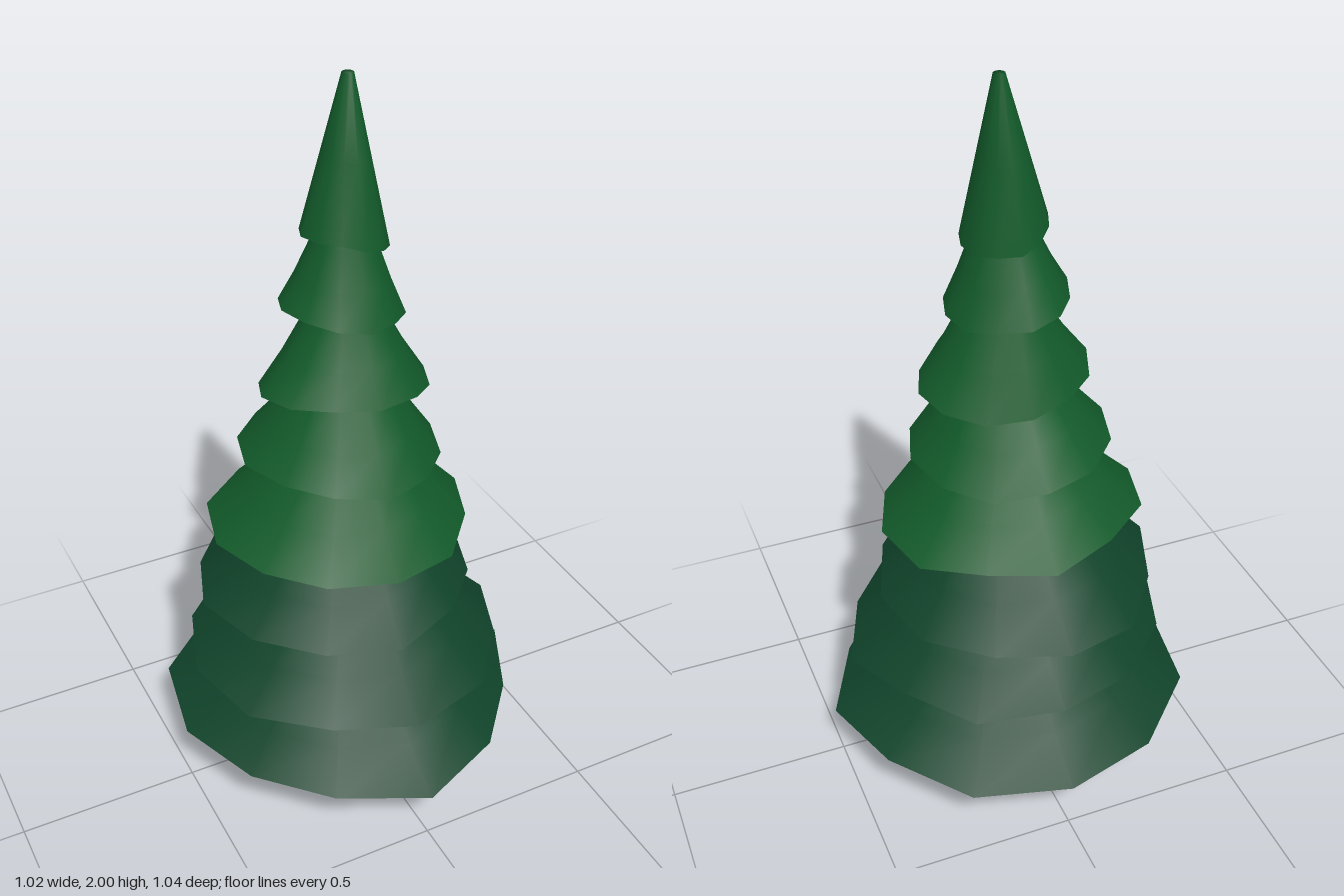
import * as THREE from 'three';

const SIDES = 12;

// Small seeded generator for the irregular hems, returns -1..1
function seeded(seed) {
  let s = seed;
  return () => {
    s = (s * 16807) % 2147483647;
    return (s / 2147483647) * 2 - 1;
  };
}

// Joins rings of points (listed from bottom to top) into a smooth skin
function skin(rings, capTop) {
  const pos = rings.flat(2), idx = [];
  for (let j = 0; j < rings.length - 1; j++) {
    for (let i = 0; i < SIDES; i++) {
      const k = (i + 1) % SIDES;
      const a = j * SIDES + i, b = j * SIDES + k, c = a + SIDES, d = b + SIDES;
      idx.push(a, b, d, a, d, c);
    }
  }
  if (capTop) {
    const t = (rings.length - 1) * SIDES;
    for (let i = 1; i < SIDES - 1; i++) idx.push(t, t + i, t + i + 1);
  }
  const g = new THREE.BufferGeometry();
  g.setAttribute('position', new THREE.Float32BufferAttribute(pos, 3));
  g.setIndex(idx);
  g.computeVertexNormals();
  return g;
}

// Uneven outline of the widest tier, one radius per direction
const BASE_RIM = [0.52, 0.485, 0.465, 0.515, 0.505, 0.53, 0.525, 0.525, 0.53, 0.505, 0.475, 0.48];

// Hem extents, hem height, hem tilt along x and z, and radius / height of the next hem's crossing
const TIERS = [
  { x: [-0.52, 0.51], z: [-0.52, 0.52], y: 0.16, tilt: [0, 0], neck: 0.27, rise: 0.19 },
  { x: [-0.46, 0.46], z: [-0.46, 0.44], y: 0.365, tilt: [-0.03, -0.02], neck: 0.245, rise: 0.205 },
  { x: [-0.42, 0.37], z: [-0.44, 0.38], y: 0.57, tilt: [0, 0.03], neck: 0.21, rise: 0.21 },
  { x: [-0.38, 0.35], z: [-0.355, 0.335], y: 0.77, tilt: [-0.03, 0], neck: 0.165, rise: 0.22 },
  { x: [-0.29, 0.26], z: [-0.29, 0.28], y: 0.985, tilt: [-0.03, 0.02], neck: 0.135, rise: 0.2 },
  { x: [-0.24, 0.23], z: [-0.205, 0.205], y: 1.185, tilt: [-0.04, 0.06], neck: 0.1, rise: 0.21 },
  { x: [-0.175, 0.155], z: [-0.18, 0.165], y: 1.405, tilt: [-0.04, 0.01], neck: 0.08, rise: 0.19 },
  { x: [-0.12, 0.11], z: [-0.125, 0.115], y: 1.595, tilt: [-0.05, 0.025], tip: true },
];

function buildTier(t, index, material) {
  const rand = seeded(1234 + index * 977);
  const cx = (t.x[0] + t.x[1]) / 2, cz = (t.z[0] + t.z[1]) / 2;
  const rx = (t.x[1] - t.x[0]) / 2, rz = (t.z[1] - t.z[0]) / 2;
  const angle = (i) => (i / SIDES) * Math.PI * 2;

  // Wavy hem
  const rim = [];
  for (let i = 0; i < SIDES; i++) {
    const s = Math.sin(angle(i)), c = Math.cos(angle(i));
    const wobble = i % 3 === 0 ? 1 : 0.975 + 0.04 * rand();
    const px = index === 0 ? BASE_RIM[i] * s : cx + rx * s * wobble;
    const pz = index === 0 ? BASE_RIM[i] * c : cz + rz * c * wobble;
    const wave = (0.004 + 0.02 * rx) * rand();
    rim.push([px, t.y + (t.tilt[0] * s + t.tilt[1] * c) / 2 + wave, pz]);
  }

  // Ring shrunk from the hem (f) towards a circle of radius r
  const ring = (f, r, y, ox, oz) => rim.map((p, i) => [
    p[0] * f + (ox + r * Math.sin(angle(i))) * (1 - f),
    p[1] * f + y * (1 - f),
    p[2] * f + (oz + r * Math.cos(angle(i))) * (1 - f),
  ]);

  const group = new THREE.Group();
  group.name = 'branchTier' + (index + 1);
  const add = (geometry, name) => {
    const m = new THREE.Mesh(geometry, material);
    m.name = name;
    group.add(m);
  };

  // Needled top surface, flaring a little at the hem
  if (t.tip) {
    add(skin([rim, ring(0.5, 0.015, 2, 0.015, -0.02), ring(0, 0.015, 2, 0.015, -0.02)], true), 'treeTop');
  } else {
    const ny = t.y + t.rise;
    const flare = ring(0.5, t.neck, ny, cx * 0.5, cz * 0.5).map((p) => [p[0], p[1] - t.rise * 0.04, p[2]]);
    const neck = ring(0, t.neck, ny, cx * 0.5, cz * 0.5);
    const inner = ring(0, t.neck * 0.45, ny + t.rise * 0.6, 0, 0);
    add(skin([rim, flare, neck, inner], true), 'branchTop');
  }

  // Shallow hollow underside
  const hollow = ring(0, rx * 0.12, t.y + rx * 0.12, cx * 0.5, cz * 0.5);
  const under = skin([rim, ring(0.5, rx * 0.12, t.y + rx * 0.12, cx * 0.5, cz * 0.5), hollow], true);
  under.index.array.reverse();
  under.computeVertexNormals();
  add(under, 'branchUnderside');
  return group;
}

export function createModel() {
  const upper = new THREE.MeshStandardMaterial({ color: 0x125a2a });
  upper.name = 'upperGreen';
  const lower = new THREE.MeshStandardMaterial({ color: 0x10432a });
  lower.name = 'lowerGreen';
  const bark = new THREE.MeshStandardMaterial({ color: 0x2a0f0f });
  bark.name = 'bark';

  const tree = new THREE.Group();
  tree.name = 'firTree';

  // Trunk, tapering into the lowest tier
  const trunk = new THREE.Mesh(new THREE.CylinderGeometry(0.058, 0.074, 0.28, 9), bark);
  trunk.name = 'trunk';
  trunk.position.set(-0.012, 0.14, 0);
  tree.add(trunk);

  // Branch tiers, dark below and brighter above
  TIERS.forEach((t, i) => tree.add(buildTier(t, i, i < 3 ? lower : upper)));
  return tree;
}
